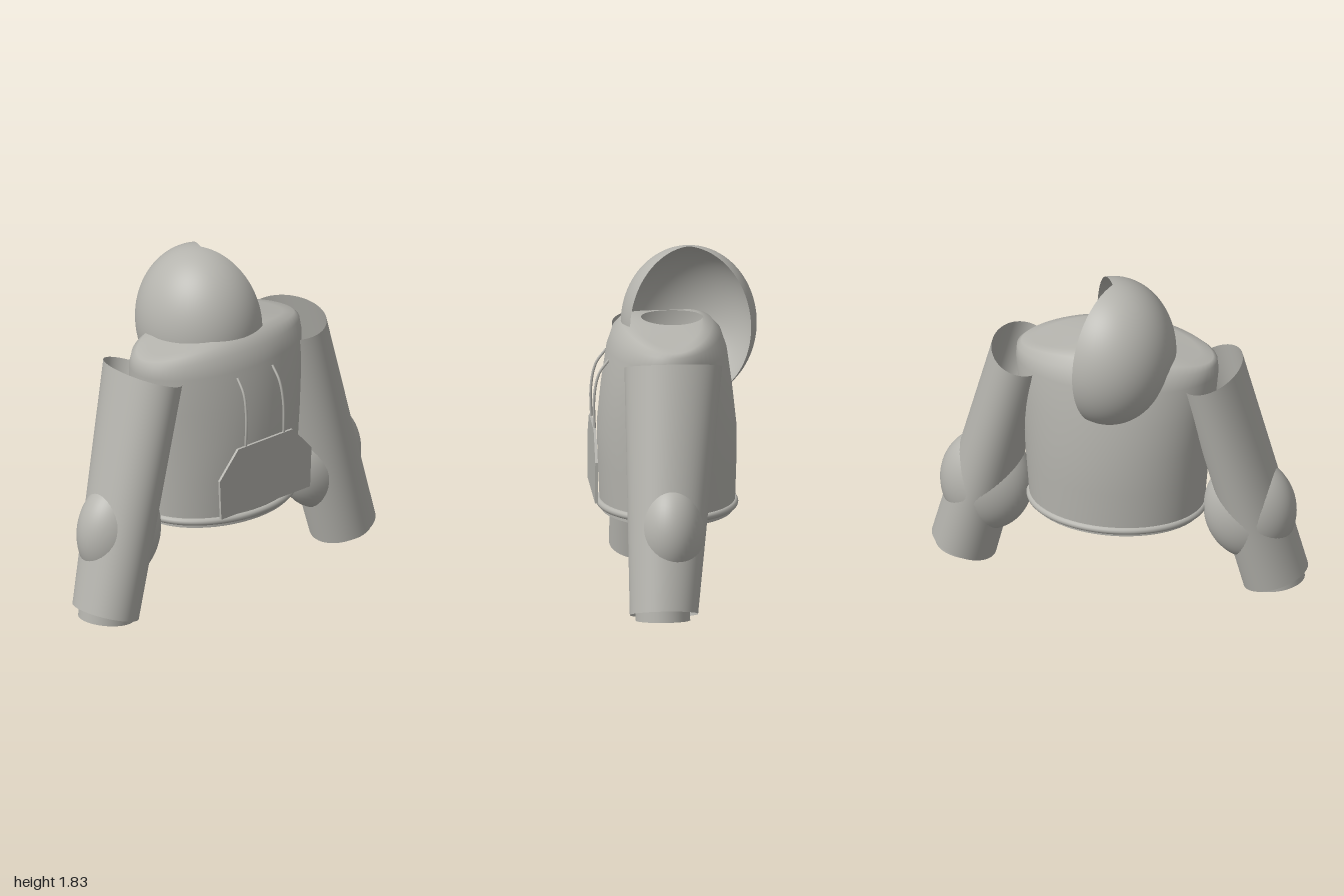
import * as THREE from 'three';

const cloth = new THREE.MeshStandardMaterial({ color: 0xb5b4ae, side: THREE.DoubleSide });
cloth.name = 'greyCloth';

const SEG = 64;

// Open skin through closed rings, listed from bottom to top; each ring maps an angle to a point
function loft(rings) {
  const pos = [], index = [];
  rings.forEach((ring, i) => {
    for (let j = 0; j < SEG; j++) {
      pos.push(...ring((j / SEG) * Math.PI * 2));
      if (i === rings.length - 1) continue;
      const a = i * SEG + j, b = i * SEG + ((j + 1) % SEG);
      index.push(a, a + SEG, b, b, a + SEG, b + SEG);
    }
  });
  const g = new THREE.BufferGeometry();
  g.setAttribute('position', new THREE.Float32BufferAttribute(pos, 3));
  g.setIndex(index);
  g.computeVertexNormals();
  return g;
}

// Level ellipse whose sides sink by drop toward the shoulders
const bodyRing = ([y, drop, rx, front, back]) => (a) => [
  rx * Math.cos(a),
  y - drop * Math.cos(a) ** 2,
  (front + back) / 2 + ((front - back) / 2) * Math.sin(a),
];

// Tilted ellipse for the sleeves
const sleeveRing = (cx, cy, cz, dx, dy, rz) => (a) => [
  cx + dx * Math.cos(a), cy + dy * Math.cos(a), cz + rz * Math.sin(a),
];

function add(parent, name, geometry) {
  const mesh = new THREE.Mesh(geometry, cloth);
  mesh.name = name;
  parent.add(mesh);
  return mesh;
}

function makeArm(name) {
  const arm = new THREE.Group();
  arm.name = name;
  add(arm, 'sleeve', loft([
    sleeveRing(0.828, 0.065, 0.105, 0.168, 0.055, 0.178),
    sleeveRing(0.505, 1.311, 0.035, 0.155, 0.049, 0.255),
  ]));
  // Padding that swells out of both sides of the sleeve
  const elbow = add(arm, 'elbowPadding', new THREE.SphereGeometry(1, 48, 32));
  elbow.scale.set(0.245, 0.288, 0.185);
  elbow.position.set(0.7, 0.477, 0.065);
  // Closed cuff inside the sleeve end
  const cuff = add(arm, 'cuff', new THREE.CylinderGeometry(1, 1, 0.1, 48));
  cuff.scale.set(0.153, 1, 0.142);
  cuff.position.set(0.82, 0.083, 0.11);
  cuff.rotation.z = 0.14;
  return arm;
}

export function createModel() {
  const jacket = new THREE.Group();
  jacket.name = 'jacket';

  // Torso with rounded shoulders and open neck: y, side drop, half width, front z, back z
  add(jacket, 'torso', loft([
    [0.48, 0, 0.46, 0.385, -0.318],
    [0.7, 0, 0.477, 0.396, -0.325],
    [0.9, 0, 0.492, 0.4, -0.325],
    [1.1, 0, 0.515, 0.38, -0.303],
    [1.3, 0, 0.535, 0.35, -0.275],
    [1.39, 0.03, 0.53, 0.32, -0.245],
    [1.44, 0.06, 0.508, 0.275, -0.2],
    [1.457, 0.062, 0.44, 0.23, -0.155],
    [1.46, 0.005, 0.17, 0.17, -0.15],
  ].map(bodyRing)));

  // Waist: rolled rim and hem band
  const rimRing = bodyRing([0.482, 0, 0.457, 0.385, -0.315]);
  const rimPoints = Array.from({ length: 40 }, (_, i) =>
    new THREE.Vector3(...rimRing((i / 40) * Math.PI * 2)));
  add(jacket, 'waistRim', new THREE.TubeGeometry(
    new THREE.CatmullRomCurve3(rimPoints, true), 96, 0.02, 12, true));
  add(jacket, 'hem', loft([
    bodyRing([0.443, 0, 0.447, 0.378, -0.307]),
    bodyRing([0.49, 0, 0.447, 0.378, -0.307]),
  ]));

  // Hood shell with a wedge left open toward +x
  const open = 2.2;
  const hood = add(jacket, 'hood', new THREE.SphereGeometry(
    1, 64, 40, Math.PI + open / 2, Math.PI * 2 - open, 0, Math.PI * 0.8));
  hood.scale.set(0.33, 0.405, 0.354);
  hood.position.set(0, 1.43, -0.078);

  // Chest pouch
  const outline = [[-0.31, 0.54], [0.31, 0.54], [0.32, 0.76], [0.19, 0.905], [-0.19, 0.905], [-0.32, 0.76]];
  const pouch = add(jacket, 'chestPouch', new THREE.ExtrudeGeometry(
    new THREE.Shape(outline.map(([x, y]) => new THREE.Vector2(x, y))),
    { depth: 0.014, bevelEnabled: false }));
  pouch.position.z = 0.416;

  // Cords holding the pouch
  for (const side of [1, -1]) {
    const path = [[0.122, 1.265, 0.345], [0.125, 1.19, 0.398], [0.13, 1.07, 0.423], [0.133, 0.87, 0.42]]
      .map(([x, y, z]) => new THREE.Vector3(x * side, y, z));
    add(jacket, side > 0 ? 'leftCord' : 'rightCord', new THREE.TubeGeometry(
      new THREE.CatmullRomCurve3(path), 32, 0.007, 8));
  }

  // Arms
  const leftArm = makeArm('leftArm');
  const rightArm = makeArm('rightArm');
  rightArm.scale.x = -1;
  jacket.add(leftArm, rightArm);
  return jacket;
}
